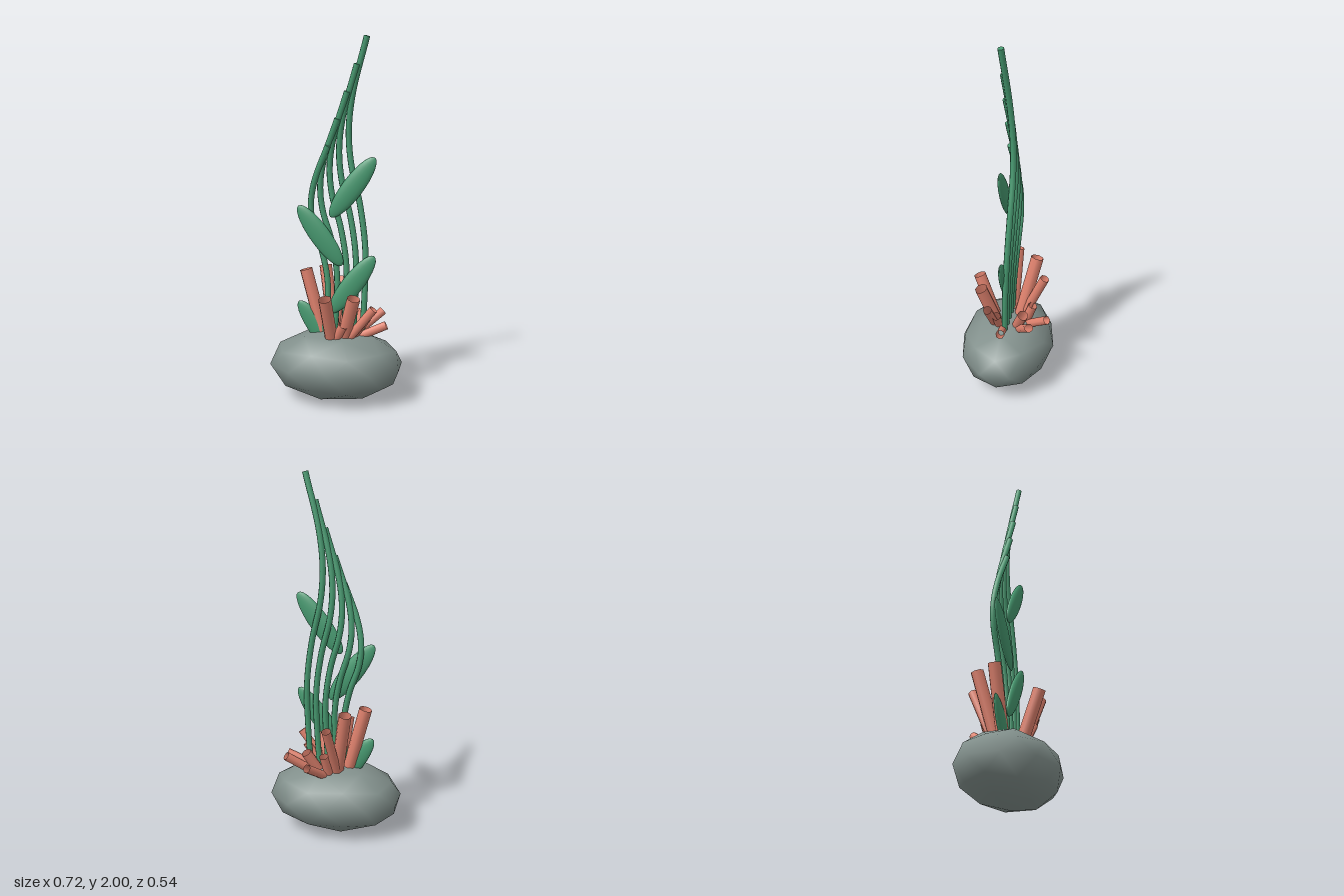
import * as THREE from 'three';
import { mergeVertices } from 'three/addons/utils/BufferGeometryUtils.js';

const V = (x, y, z) => new THREE.Vector3(x, y, z);
const material = (color) => new THREE.MeshStandardMaterial({ color, side: THREE.DoubleSide });

function addMesh(parent, name, geometry, mat) {
  const mesh = new THREE.Mesh(geometry, mat);
  mesh.name = name;
  parent.add(mesh);
  return mesh;
}

// Low-poly pebble with a vertex at each pole and smooth shading
function rockGeometry() {
  let g = new THREE.IcosahedronGeometry(1, 1);
  g.deleteAttribute('normal');
  g.deleteAttribute('uv');
  g = mergeVertices(g, 1e-3);
  g.rotateZ(-Math.atan(2 / (1 + Math.sqrt(5))));
  g.scale(0.38, 0.198, 0.27);
  g.computeVertexNormals();
  return g;
}

export function createModel() {
  const model = new THREE.Group();
  const stone = material(0x82908c);
  const green = material(0x479970);
  const pink = material(0xe0826e);

  addMesh(model, 'rock', rockGeometry(), stone).position.y = 0.2;

  // Swaying stems, each shorter and further to the side than the last
  const stems = new THREE.Group();
  stems.name = 'stems';
  model.add(stems);
  const sway = [
    [0.14, 0.3, -0.01], [0.155, 0.55, -0.015], [0.158, 0.85, -0.028], [0.125, 1.1, -0.038],
    [0.075, 1.32, -0.042], [0.062, 1.5, -0.038], [0.085, 1.7, -0.025], [0.165, 2, 0],
  ];
  const radius = 0.017;
  for (let i = 0; i < 5; i++) {
    const scale = 1 - i * 0.0853;
    const curve = new THREE.CatmullRomCurve3(
      sway.map(([x, y, z]) => V(x - i * 0.053, 0.3 + (y - 0.3) * scale, z)));
    addMesh(stems, 'stem', new THREE.TubeGeometry(curve, 36, radius, 8), green);
    const cap = addMesh(stems, 'stemTip', new THREE.CircleGeometry(radius, 8), green);
    cap.position.copy(curve.getPoint(1));
    cap.quaternion.setFromUnitVectors(V(0, 0, 1), curve.getTangent(1));
  }

  // Flat oval leaves, alternating sides
  const leaves = new THREE.Group();
  leaves.name = 'leaves';
  model.add(leaves);
  for (let i = 0; i < 4; i++) {
    const side = i % 2 ? -1 : 1;
    const leaf = addMesh(leaves, 'leaf', new THREE.SphereGeometry(1, 20, 14), green);
    leaf.scale.set(0.058, 0.205, 0.022);
    leaf.position.set(0.09 * side, 1.195 - i * 0.27, 0);
    leaf.rotation.z = -side * 0.64;
  }

  // Open coral tubes: base x, z, then tip x, y, z, then radius
  const corals = new THREE.Group();
  corals.name = 'coralTubes';
  model.add(corals);
  const tubes = [
    [0.02, -0.10, 0.10, 0.44, -0.245, 0.024],
    [0.08, -0.07, 0.24, 0.47, -0.17, 0.024],
    [0.07, -0.06, 0.14, 0.48, -0.115, 0.03],
    [-0.03, -0.07, 0.00, 0.65, -0.21, 0.027],
    [-0.02, -0.06, -0.09, 0.73, -0.15, 0.036],
    [0.08, 0.01, 0.28, 0.43, -0.015, 0.024],
    [0.06, 0.06, 0.22, 0.54, 0.07, 0.024],
    [0.08, 0.03, 0.18, 0.48, 0.03, 0.024],
    [-0.01, 0.07, -0.03, 0.61, 0.175, 0.036],
    [0.045, 0.05, 0.12, 0.61, 0.13, 0.036],
    [-0.07, -0.01, -0.175, 0.73, -0.02, 0.036],
    [0.00, 0.08, 0.06, 0.45, 0.11, 0.026],
    [0.01, -0.10, 0.03, 0.48, -0.15, 0.026],
  ];
  for (const [bx, bz, tx, ty, tz, r] of tubes) {
    const base = V(bx, 0.34, bz);
    const along = V(tx, ty, tz).sub(base);
    const length = along.length();
    const tube = addMesh(corals, 'coralTube',
      new THREE.CylinderGeometry(r, r, length, 8, 1, true), pink);
    tube.position.copy(base).addScaledVector(along, 0.5);
    tube.quaternion.setFromUnitVectors(V(0, 1, 0), along.normalize());
  }
  return model;
}
